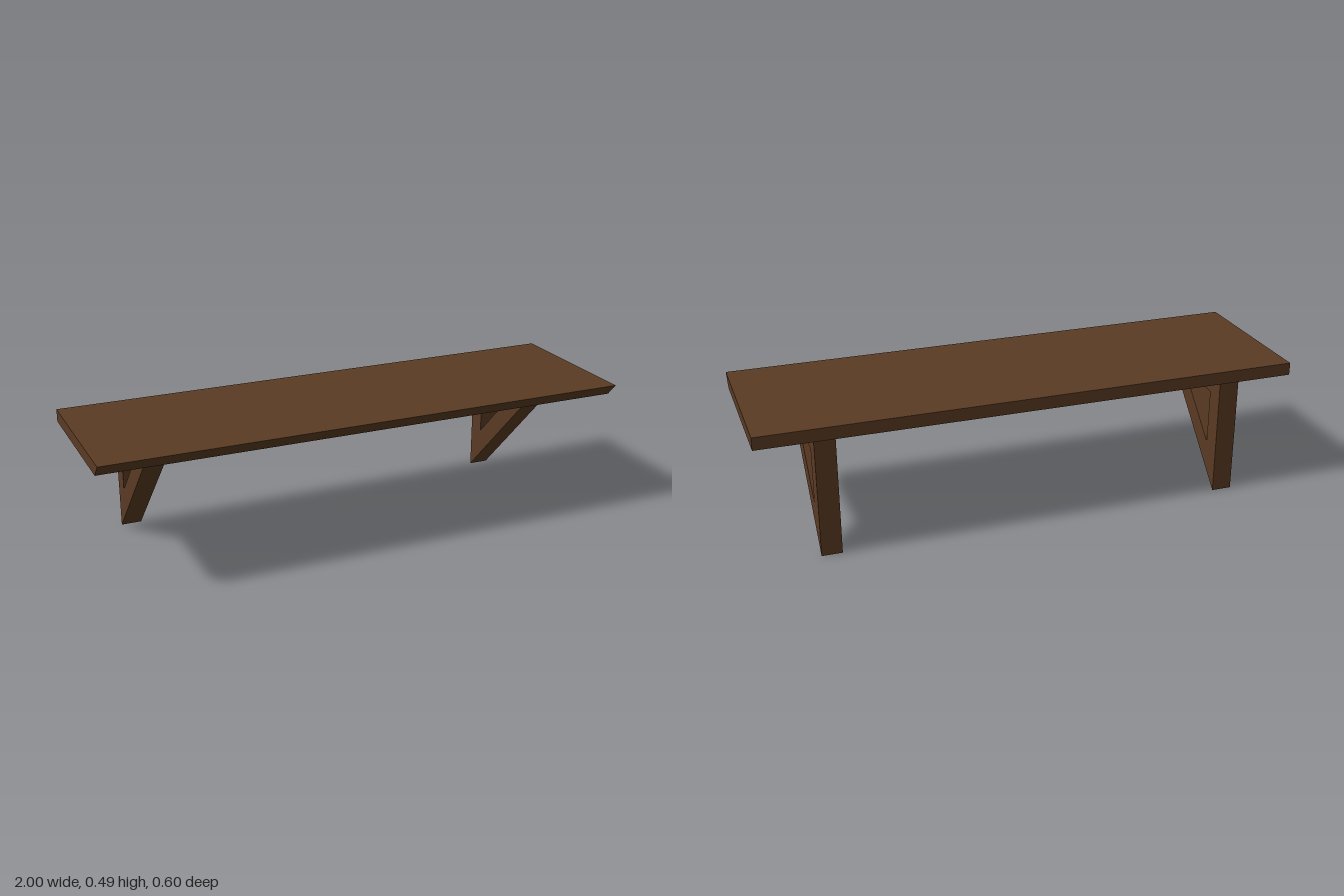
import * as THREE from 'three';

// Extrudes a (z, y) side profile along x, centred on x = 0
function sideExtrude(points, width, hole) {
  const toVectors = (list) => list.map(([z, y]) => new THREE.Vector2(z, y));
  const shape = new THREE.Shape(toVectors(points));
  if (hole) shape.holes.push(new THREE.Path(toVectors(hole)));
  const geometry = new THREE.ExtrudeGeometry(shape, { depth: width, bevelEnabled: false });
  geometry.translate(0, 0, -width / 2);
  geometry.rotateY(-Math.PI / 2);
  return geometry;
}

export function createModel() {
  const model = new THREE.Group();
  model.name = 'wallShelf';
  const wood = new THREE.MeshStandardMaterial({ color: 0x5a3b23 });
  wood.name = 'darkWood';

  // Board with an undercut front edge
  const board = new THREE.Mesh(
    sideExtrude([[-0.3, 0.445], [0.256, 0.445], [0.3, 0.492], [-0.3, 0.492]], 2), wood);
  board.name = 'shelfBoard';
  model.add(board);

  // Two triangular brackets with triangular openings
  const bracketGeometry = sideExtrude(
    [[-0.287, 0], [0.157, 0.445], [-0.287, 0.445]], 0.075,
    [[-0.215, 0.175], [-0.215, 0.383], [-0.006, 0.383]]);
  for (const [name, side] of [['leftBracket', 1], ['rightBracket', -1]]) {
    const bracket = new THREE.Mesh(bracketGeometry, wood);
    bracket.name = name;
    bracket.position.x = side * 0.757;
    model.add(bracket);
  }
  return model;
}
